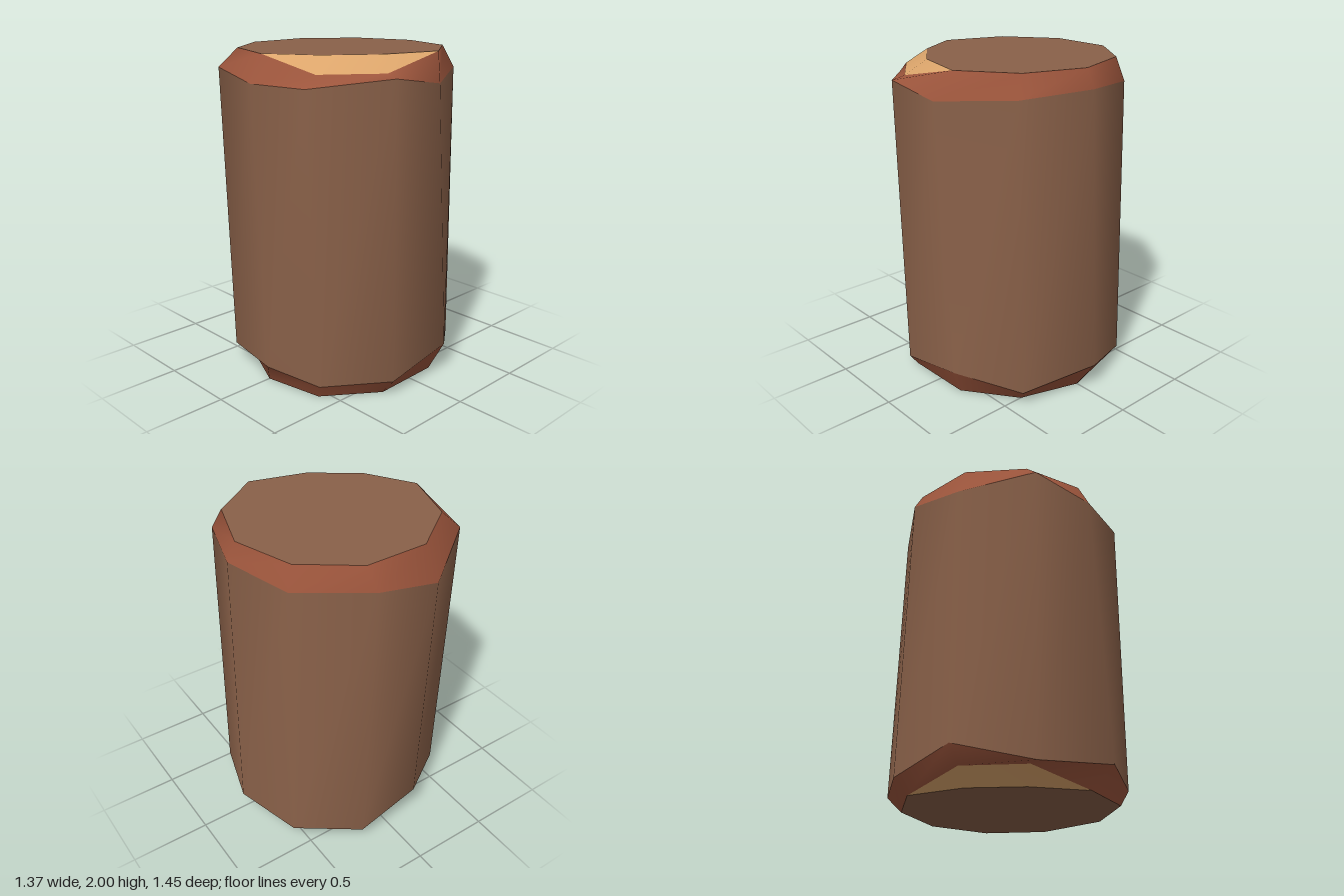
import * as THREE from 'three';

const bark = new THREE.MeshStandardMaterial({ color: 0x8a6149 });
bark.name = 'barkBrown';
const rimRed = new THREE.MeshStandardMaterial({ color: 0x9c553c });
rimRed.name = 'rimRedBrown';
const cutWood = new THREE.MeshStandardMaterial({ color: 0xdca56b });
cutWood.name = 'cutWoodTan';

// Ten-sided rings [x, y, z], starting at the front and turning towards +x
const outline = [
  [0, 0.63], [0.375, 0.56], [0.605, 0.245], [0.595, -0.19], [0.37, -0.5],
  [0, -0.62], [-0.37, -0.5], [-0.6, -0.19], [-0.6, 0.2], [-0.37, 0.51],
];
const upper = [
  [0, 1.84, 0.71], [0.375, 1.84, 0.64], [0.685, 1.89, 0.26], [0.675, 1.83, -0.115], [0.43, 1.87, -0.54],
  [0, 1.89, -0.675], [-0.4, 1.86, -0.545], [-0.68, 1.87, -0.17], [-0.685, 1.79, 0.235], [-0.415, 1.89, 0.62],
];
const lower = [
  [0.1, 0.15, 0.72], [0.42, 0.09, 0.59], [0.675, 0.09, 0.23], [0.675, 0.18, -0.24], [0.42, 0.09, -0.575],
  [-0.04, 0.165, -0.725], [-0.42, 0.09, -0.575], [-0.68, 0.09, -0.22], [-0.67, 0.2, 0.2], [-0.4, 0.09, 0.58],
];
// End rings: two corners of each are chipped away
const top = outline.map(([x, z], i) => [x, i === 1 || i === 2 ? 1.91 : 2, z]);
const bottom = outline.map(([x, z], i) => [x, i === 8 || i === 9 ? 0.09 : 0, z]);

function makeMesh(name, points, index, material) {
  const geometry = new THREE.BufferGeometry();
  geometry.setAttribute('position', new THREE.Float32BufferAttribute(points.flat(), 3));
  geometry.setIndex(index);
  geometry.computeVertexNormals();
  const mesh = new THREE.Mesh(geometry, material);
  mesh.name = name;
  return mesh;
}

// Closed smooth band between two rings
function band(name, low, high, material) {
  const n = low.length, index = [];
  for (let i = 0; i < n; i++) {
    const j = (i + 1) % n;
    index.push(i, j, n + j, i, n + j, n + i);
  }
  return makeMesh(name, [...low, ...high], index, material);
}

// Flat end face, fanned from its middle
function cap(name, ring, y, up) {
  const n = ring.length, index = [];
  for (let i = 0; i < n; i++) {
    const j = (i + 1) % n;
    index.push(n, ...(up ? [i, j] : [j, i]));
  }
  return makeMesh(name, [...ring, [0, y, 0]], index, bark);
}

// Sloping cut: four rim corners and two inner corners
function chip(name, rim, inner, up) {
  const index = [0, 1, 4, 1, 2, 5, 1, 5, 4, 2, 3, 5];
  return makeMesh(name, [...rim, ...inner], up ? index : index.reverse(), cutWood);
}

export function createModel() {
  const model = new THREE.Group();
  model.name = 'log';

  // Bark and bevelled rims
  model.add(band('barkBody', lower, upper, bark));
  model.add(band('upperRim', upper, top, rimRed));
  model.add(band('lowerRim', bottom, lower, rimRed));

  // Top face with its chipped edge
  const topInner = [[0.29, 2, 0.455], [0.5, 2, 0.17]];
  model.add(cap('topFace', [top[0], ...topInner, ...top.slice(3)], 2, true));
  model.add(chip('topChip', top.slice(0, 4), topInner, true));

  // Bottom face with its chipped edge
  const bottomInner = [[-0.5, 0, 0.15], [-0.29, 0, 0.42]];
  model.add(cap('bottomFace', [...bottom.slice(0, 8), ...bottomInner], 0, false));
  model.add(chip('bottomChip', [bottom[7], bottom[8], bottom[9], bottom[0]], bottomInner, false));

  return model;
}
